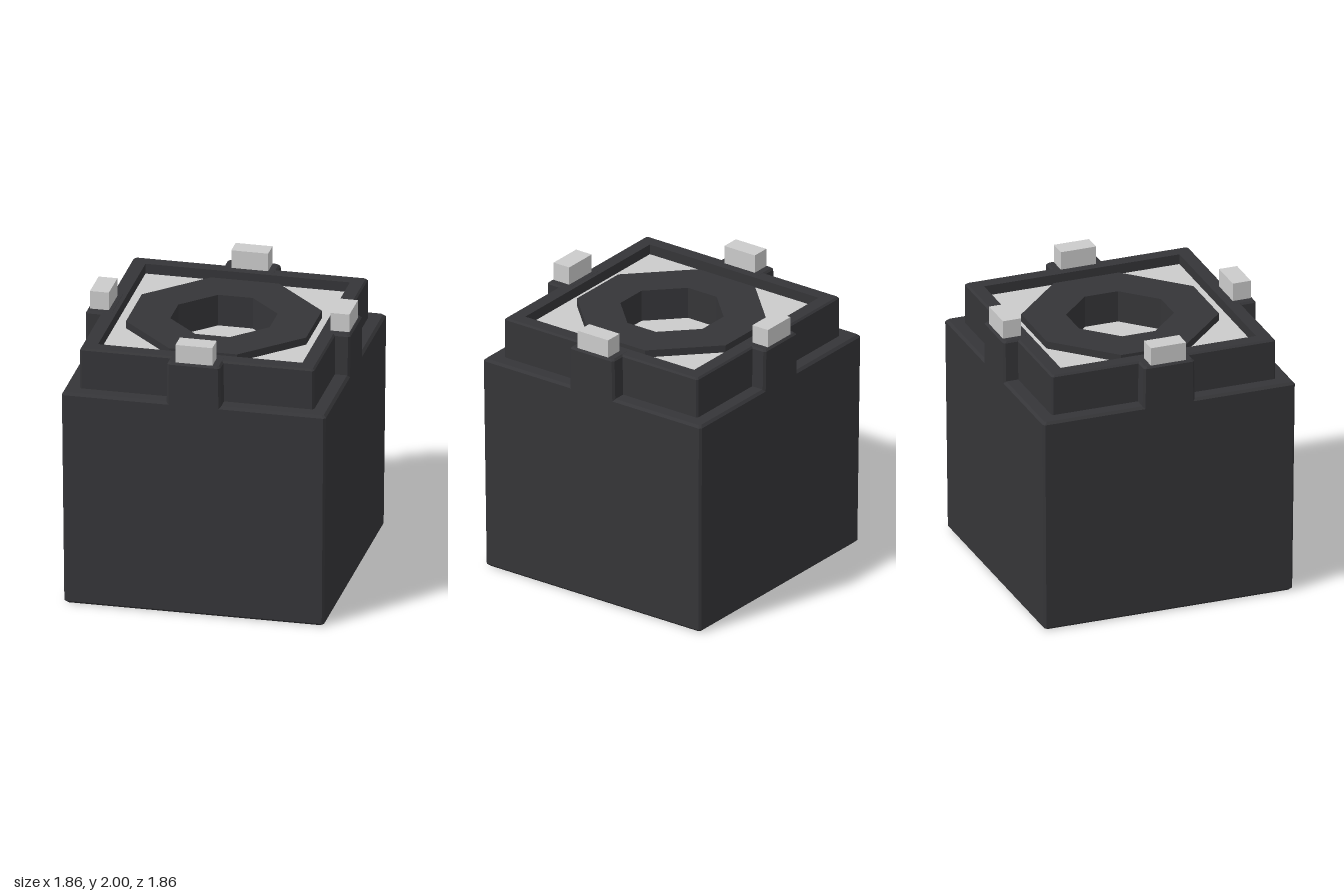
import * as THREE from 'three';

const DARK = new THREE.MeshStandardMaterial({ color: 0x353538, flatShading: true });
const GREY = new THREE.MeshStandardMaterial({ color: 0xcccccc, flatShading: true });

// Rectangle with cut corners, as [x, z] points
function outline(hx, hz, c) {
  return [
    [hx, -hz + c], [hx, hz - c], [hx - c, hz], [-hx + c, hz],
    [-hx, hz - c], [-hx, -hz + c], [-hx + c, -hz], [hx - c, -hz],
  ];
}

// Joins sections [halfX, halfZ, y, cornerCut] into a faceted solid
function loft(sections, capped = true) {
  const rings = sections.map(([hx, hz, y, c]) => outline(hx, hz, c).map(([x, z]) => [x, y, z]));
  const pos = [];
  const tri = (...pts) => pts.forEach((p) => pos.push(...p));
  for (let i = 0; i < rings.length - 1; i++) {
    const lo = rings[i], up = rings[i + 1];
    for (let j = 0; j < 8; j++) {
      const k = (j + 1) % 8;
      tri(lo[j], up[j], lo[k]);
      tri(lo[k], up[j], up[k]);
    }
  }
  if (capped) {
    const first = rings[0], last = rings[rings.length - 1];
    for (let k = 1; k < 7; k++) {
      tri(first[0], first[k], first[k + 1]);
      tri(last[0], last[k + 1], last[k]);
    }
  }
  const geo = new THREE.BufferGeometry();
  geo.setAttribute('position', new THREE.Float32BufferAttribute(pos, 3));
  geo.computeVertexNormals();
  return geo;
}

// Horizontal plate with a cut-cornered hole
function plate(half, cut, holeHalf, holeCut, y, height) {
  const points = (h, c) => outline(h, h, c).map(([x, z]) => new THREE.Vector2(x, z));
  const shape = new THREE.Shape(points(half, cut));
  shape.holes.push(new THREE.Path(points(holeHalf, holeCut)));
  const geo = new THREE.ExtrudeGeometry(shape, { depth: height, bevelEnabled: false });
  return geo.rotateX(-Math.PI / 2).translate(0, y, 0);
}

function add(parent, name, geometry, material) {
  const mesh = new THREE.Mesh(geometry, material);
  mesh.name = name;
  parent.add(mesh);
  return mesh;
}

export function createModel() {
  const model = new THREE.Group();
  model.name = 'block';

  // Slightly tapered body with bevelled edges
  add(model, 'body', loft([
    [0.9, 0.9, 0, 0.015], [0.916, 0.916, 0.016, 0.015],
    [0.93, 0.93, 1.555, 0.015], [0.912, 0.912, 1.572, 0.015],
  ]), DARK);

  // Set-back collar: outer wall, rim, then inner wall
  add(model, 'collar', loft([
    [0.825, 0.825, 1.56, 0.012], [0.825, 0.825, 1.856, 0.012],
    [0.812, 0.812, 1.868, 0.012], [0.72, 0.72, 1.868, 0], [0.72, 0.72, 1.78, 0],
  ], false), DARK);

  // Recessed floor, octagonal ring and the deeper floor inside it
  add(model, 'recessFloor', plate(0.722, 0, 0.5, 0.29, 1.78, 0.015), GREY);
  add(model, 'octagonRing', plate(0.635, 0.395, 0.35, 0.228, 1.6, 0.248), DARK);
  add(model, 'wellFloor', loft([[0.4, 0.4, 1.58, 0.25], [0.4, 0.4, 1.62, 0.25]]), GREY);

  // A tab with a peg in the middle of each side
  for (let i = 0; i < 4; i++) {
    const side = new THREE.Group();
    side.name = 'sideTab';
    side.rotation.y = i * Math.PI / 2;
    const tab = add(side, 'tab', loft([
      [0.192, 0.095, 1.55, 0.015], [0.187, 0.097, 1.856, 0.015], [0.174, 0.084, 1.869, 0.015],
    ]), DARK);
    tab.position.z = 0.835;
    const peg = add(side, 'peg', new THREE.BoxGeometry(0.26, 0.15, 0.133), GREY);
    peg.position.set(0, 1.925, 0.8475);
    model.add(side);
  }
  return model;
}
